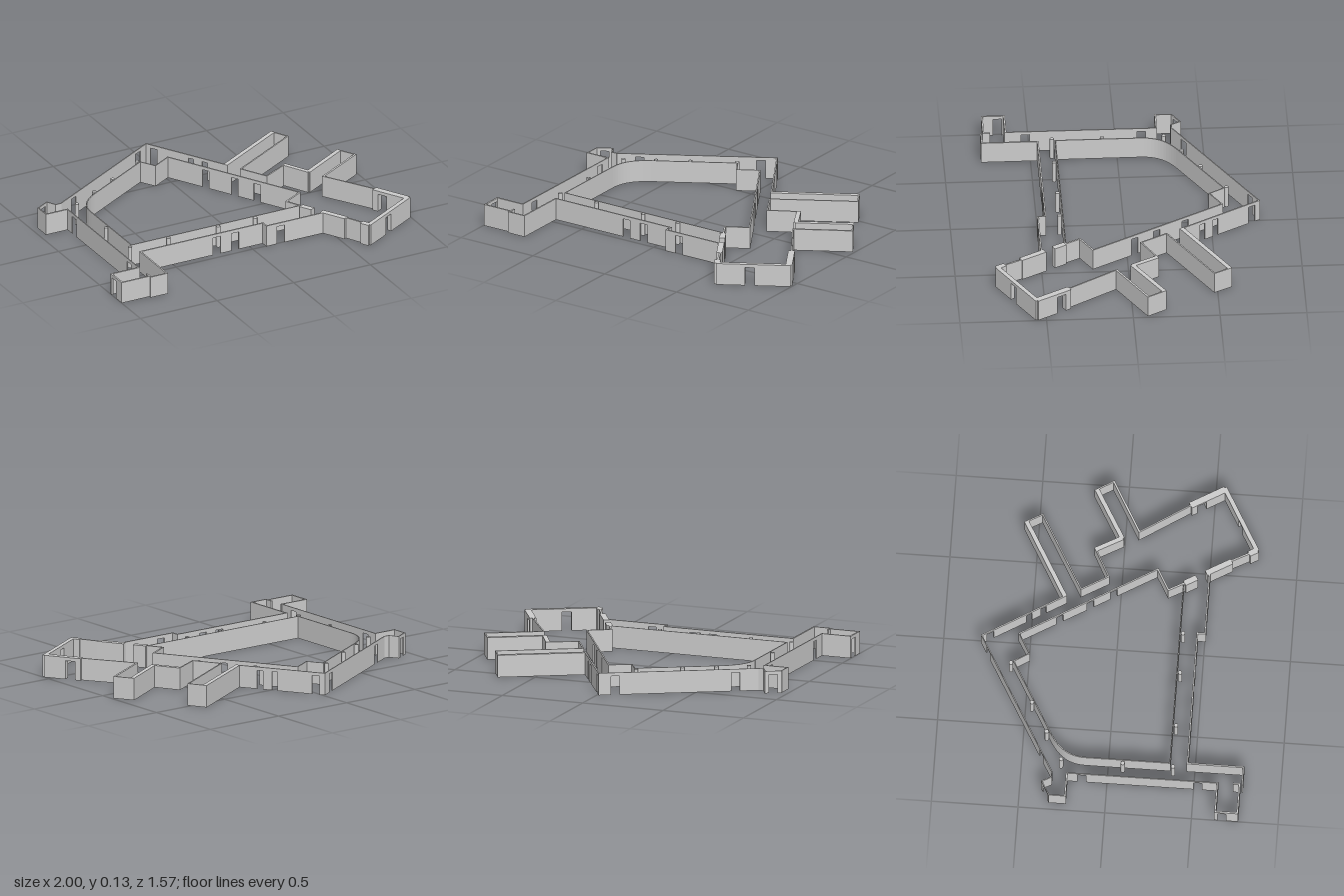
import * as THREE from 'three';

const H = 0.13, DOOR_H = 0.11;

export function createModel() {
  const model = new THREE.Group();
  const mat = new THREE.MeshStandardMaterial({ color: 0xcccccc, flatShading: true, side: THREE.DoubleSide });

  // One straight wall panel; doors are [fraction along wall, width], cut as notches from the floor
  function panel(name, [x0, z0], [x1, z1], t, doors = []) {
    const len = Math.hypot(x1 - x0, z1 - z0), e = Math.min(t, 0.008) / 2;
    const shape = new THREE.Shape();
    shape.moveTo(-e, 0);
    for (const [f, w] of doors) {
      const a = f * len - w / 2, b = f * len + w / 2;
      shape.lineTo(a, 0);
      shape.lineTo(a, DOOR_H);
      shape.lineTo(b, DOOR_H);
      shape.lineTo(b, 0);
    }
    shape.lineTo(len + e, 0);
    shape.lineTo(len + e, H);
    shape.lineTo(-e, H);
    const geo = new THREE.ExtrudeGeometry(shape, { depth: t, bevelEnabled: false });
    geo.translate(0, 0, -t / 2);
    const mesh = new THREE.Mesh(geo, mat);
    mesh.name = name;
    mesh.position.set(x0, 0, z0);
    mesh.rotation.y = -Math.atan2(z1 - z0, x1 - x0);
    model.add(mesh);
  }

  // A run of panels along a path; thickness and doors are keyed by panel number
  function wallRun(name, pts, t, thick = {}, doors = {}) {
    for (let i = 0; i < pts.length - 1; i++) {
      panel(name, pts[i], pts[i + 1], thick[i] ?? t, doors[i]);
    }
  }

  // North-west side, corner room and west corridor
  wallRun('westOuterWall', [
    [-0.012, -0.78], [-0.815, -0.318], [-0.848, -0.318], [-0.878, -0.372], [-0.958, -0.325],
    [-0.958, -0.232], [-0.817, -0.232], [-0.817, 0.637],
  ], 0.006, { 5: 0.01 }, {
    0: [[0.1, 0.05], [0.855, 0.05]],
    3: [[0.5, 0.05]],
    6: [[0.1, 0.05], [0.87, 0.05]],
  });

  // South-west room
  wallRun('southWestRoomWall', [
    [-0.817, 0.637], [-0.994, 0.637], [-0.994, 0.765], [-0.815, 0.765], [-0.815, 0.732],
  ], 0.01, {}, { 1: [[0.3, 0.05]] });

  // South corridor
  wallRun('southOuterWall', [
    [-0.815, 0.78], [-0.71, 0.78], [-0.71, 0.457], [0.09, 0.457], [0.09, 0.501], [0.46, 0.501],
  ], 0.009, {}, {
    2: [[0.619, 0.05], [0.769, 0.05]].map(([f, w]) => [f, w]).sort((a, b) => a[0] - b[0]),
    4: [[0.243, 0.05]],
  });

  // South-east hall
  panel('hallPier', [0.462, 0.485], [0.54, 0.62], 0.034);
  panel('hallWestWall', [0.535, 0.6], [0.6, 0.725], 0.01);
  panel('hallCornerPier', [0.597, 0.722], [0.62, 0.762], 0.034);
  panel('hallFrontWall', [0.62, 0.762], [0.985, 0.553], 0.026, [[0.45, 0.055]]);
  panel('hallEastPier', [0.978, 0.553], [0.869, 0.365], 0.038, [[0.72, 0.058]]);
  panel('hallEastWall', [0.869, 0.365], [0.685, 0.08], 0.008);

  // East wings and the wall back to the north corner
  wallRun('eastWingWall', [
    [0.685, 0.08], [0.982, -0.088], [0.926, -0.182], [0.64, -0.016], [0.56, -0.162], [0.4, -0.077],
    [0.312, -0.23], [0.752, -0.482], [0.702, -0.572], [0.262, -0.32], [-0.012, -0.78],
  ], 0.008, { 0: 0.012, 2: 0.026, 3: 0.026, 8: 0.026 }, {
    9: [[0.26, 0.035], [0.43, 0.035], [0.9, 0.045]],
  });

  // Wall around the inner court, with a rounded north-west corner
  const bend = new THREE.CubicBezierCurve(
    new THREE.Vector2(-0.715, -0.13), new THREE.Vector2(-0.715, -0.23),
    new THREE.Vector2(-0.67, -0.285), new THREE.Vector2(-0.59, -0.335)
  ).getPoints(12).map((p) => [p.x, p.y]);
  wallRun('courtWall', [[0.39, 0.356], [-0.715, 0.356], ...bend, [-0.155, -0.585], [-0.102, -0.498], [0.015, -0.565]], 0.006);
  panel('courtEastWall', [0.015, -0.565], [0.465, 0.202], 0.008, [[0.29, 0.045], [0.51, 0.045], [0.68, 0.045]]);
  wallRun('courtCornerWall', [[0.465, 0.202], [0.342, 0.272], [0.39, 0.36]], 0.01);
  panel('courtPier', [0.392, 0.365], [0.427, 0.426], 0.034);

  // Round corridor columns
  const columnGeo = new THREE.CylinderGeometry(0.012, 0.012, H, 16);
  const columns = [
    [-0.735, -0.27], [-0.572, -0.365], [-0.4, -0.463], [-0.167, -0.6], [-0.735, 0.085],
    [-0.735, 0.375], [-0.483, 0.375], [-0.158, 0.375], [0.083, 0.375],
  ];
  for (const [x, z] of columns) {
    const column = new THREE.Mesh(columnGeo, mat);
    column.name = 'column';
    column.position.set(x, H / 2, z);
    model.add(column);
  }
  return model;
}
